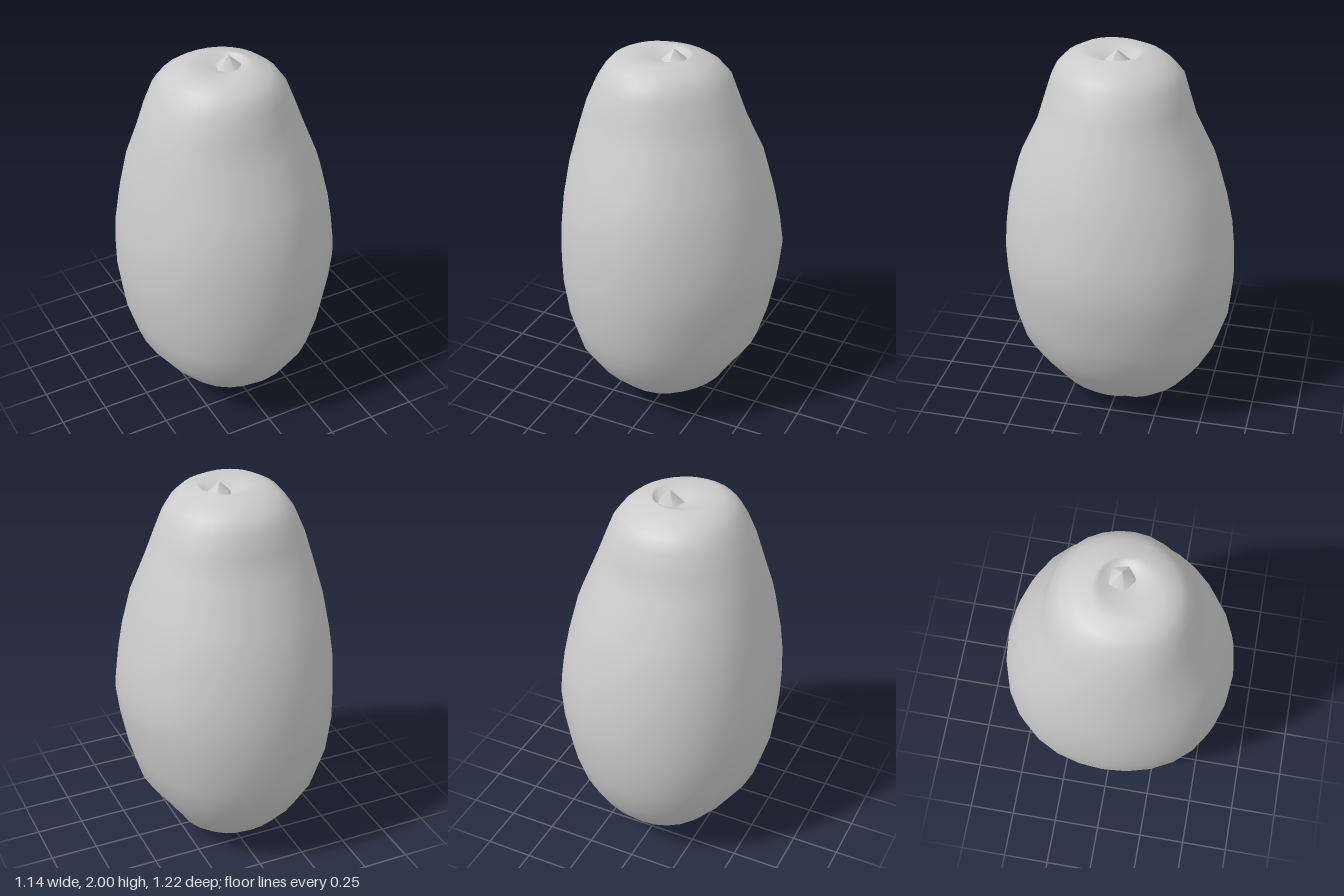
import * as THREE from 'three';

const SIDES = 28;

// Cross-sections from bottom to top: y, xMin, xMax, zMin, zMax
const SECTIONS = [
  [0.04, -0.02, 0.04, 0.01, 0.07],
  [0.005, -0.09, 0.05, -0.19, 0.12],
  [0.02, -0.12, 0.09, -0.21, 0.15],
  [0.06, -0.21, 0.20, -0.27, 0.23],
  [0.14, -0.31, 0.30, -0.37, 0.34],
  [0.25, -0.40, 0.37, -0.465, 0.45],
  [0.38, -0.49, 0.46, -0.535, 0.535],
  [0.55, -0.54, 0.51, -0.59, 0.585],
  [0.75, -0.568, 0.55, -0.61, 0.608],
  [0.90, -0.572, 0.568, -0.605, 0.612],
  [1.05, -0.568, 0.548, -0.588, 0.603],
  [1.20, -0.55, 0.52, -0.555, 0.583],
  [1.40, -0.515, 0.47, -0.495, 0.53],
  [1.60, -0.465, 0.39, -0.39, 0.435],
  [1.73, -0.425, 0.34, -0.35, 0.395],
  [1.84, -0.375, 0.295, -0.32, 0.36],
  [1.90, -0.335, 0.25, -0.27, 0.33],
  [1.94, -0.30, 0.20, -0.21, 0.29],
  [1.975, -0.23, 0.11, -0.12, 0.22],
  [1.965, -0.13, 0.09, -0.09, 0.11],
  [1.94, -0.07, 0.07, -0.06, 0.07],
];

// Gently uneven roundness: flatter toward front left, fuller elsewhere
function fullness(a, y) {
  const diagonal = Math.sin(2 * a) ** 2;
  const flat = Math.cos(a) > 0 && Math.sin(a) > 0;
  // Shallow crease running into the blossom end
  const offset = ((a > Math.PI ? a - 2 * Math.PI : a) + 0.2) / 0.2;
  const groove = Math.exp(-offset * offset);
  return 1 + diagonal * (flat ? -0.025 : 0.022)
    - groove * 0.1 * Math.max(0, 1 - y / 0.3);
}

function bodyGeometry() {
  const pos = [], index = [];
  for (const [y, x0, x1, z0, z1] of SECTIONS) {
    for (let i = 0; i < SIDES; i++) {
      const a = (i / SIDES) * Math.PI * 2, k = fullness(a, y);
      pos.push((x0 + x1) / 2 + (x1 - x0) / 2 * Math.cos(a) * k, y,
        (z0 + z1) / 2 + (z1 - z0) / 2 * Math.sin(a) * k);
    }
  }
  for (let r = 0; r < SECTIONS.length - 1; r++) {
    for (let i = 0; i < SIDES; i++) {
      const j = (i + 1) % SIDES;
      const a = r * SIDES + i, b = r * SIDES + j, c = a + SIDES, d = b + SIDES;
      index.push(a, c, b, b, c, d);
    }
  }
  // Close both dimples
  const bottom = pos.length / 3, top = bottom + 1, last = (SECTIONS.length - 1) * SIDES;
  pos.push(0.01, 0.042, 0.04, 0, 1.935, 0);
  for (let i = 0; i < SIDES; i++) {
    const j = (i + 1) % SIDES;
    index.push(bottom, i, j, top, last + j, last + i);
  }
  const g = new THREE.BufferGeometry();
  g.setAttribute('position', new THREE.Float32BufferAttribute(pos, 3));
  g.setIndex(index);
  g.computeVertexNormals();
  return g;
}

export function createModel() {
  const group = new THREE.Group();
  group.name = 'fruit';
  const material = new THREE.MeshStandardMaterial({ color: 0xcccccc });

  const body = new THREE.Mesh(bodyGeometry(), material);
  body.name = 'fruitBody';
  group.add(body);

  // Small pointed stem stub in the top dimple
  const stem = new THREE.Mesh(new THREE.ConeGeometry(0.08, 0.07, 5), material);
  stem.name = 'stemStub';
  stem.position.set(0.01, 1.965, 0.01);
  group.add(stem);

  return group;
}
